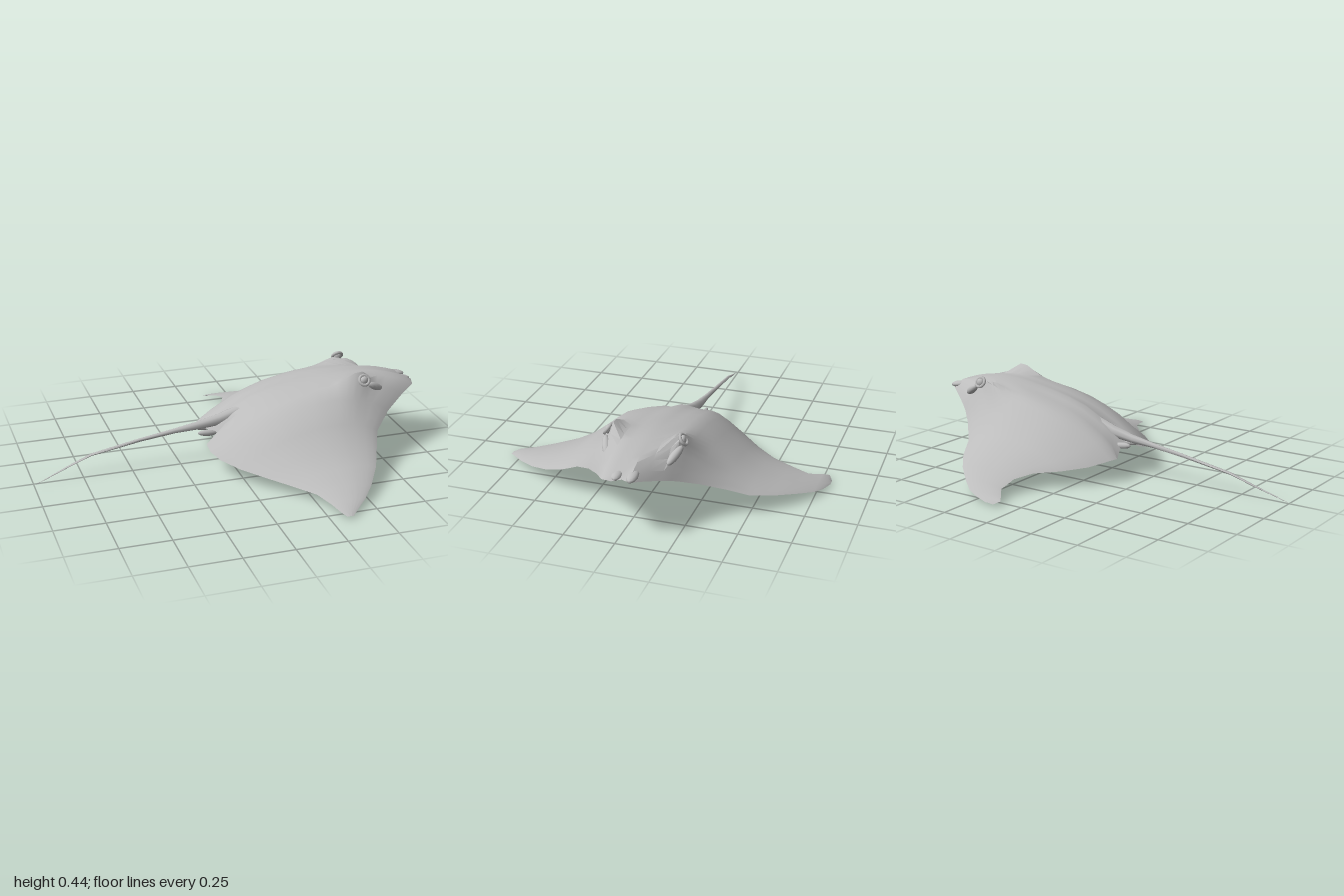
import * as THREE from 'three';
import { toCreasedNormals } from 'three/addons/utils/BufferGeometryUtils.js';

const skin = new THREE.MeshStandardMaterial({ color: 0xbcbcbc });
skin.name = 'grey skin';

const SPINE_Z = -0.035;

// Chord sections across the wingspan: z, trailing x, y, leading x, y, back height
const SECTIONS = [
  [0.80, 0.33, 0.020, 0.36, 0.020, 0.002],
  [0.77, 0.31, 0.030, 0.39, 0.030, 0.005],
  [0.70, 0.29, 0.040, 0.46, 0.045, 0.012],
  [0.61, 0.25, 0.055, 0.53, 0.065, 0.020],
  [0.50, 0.16, 0.062, 0.60, 0.100, 0.035],
  [0.40, 0.06, 0.075, 0.645, 0.140, 0.055],
  [0.30, -0.03, 0.085, 0.69, 0.195, 0.098],
  [0.20, -0.10, 0.100, 0.79, 0.250, 0.148],
  [0.12, -0.13, 0.115, 0.90, 0.295, 0.155],
  [0.06, -0.13, 0.130, 0.985, 0.320, 0.148],
  [0.01, -0.06, 0.165, 1.00, 0.325, 0.140],
  [-0.03, -0.10, 0.170, 0.97, 0.325, 0.138],
  [-0.07, -0.10, 0.160, 0.99, 0.325, 0.140],
  [-0.12, -0.12, 0.135, 0.92, 0.305, 0.152],
  [-0.17, -0.145, 0.125, 0.85, 0.280, 0.156],
  [-0.20, -0.125, 0.120, 0.81, 0.265, 0.156],
  [-0.23, -0.11, 0.115, 0.77, 0.245, 0.150],
  [-0.30, -0.06, 0.100, 0.695, 0.205, 0.125],
  [-0.40, 0.03, 0.090, 0.61, 0.150, 0.075],
  [-0.50, 0.12, 0.090, 0.56, 0.110, 0.040],
  [-0.60, 0.16, 0.080, 0.48, 0.085, 0.020],
  [-0.69, 0.165, 0.055, 0.385, 0.060, 0.012],
  [-0.75, 0.12, 0.040, 0.31, 0.040, 0.006],
  [-0.78, 0.10, 0.030, 0.25, 0.030, 0.004],
  [-0.80, 0.13, 0.015, 0.17, 0.018, 0.002],
];
// Back profile along one chord: fraction from tail to nose, share of height
const PROFILE = [[0, 0], [0.04, 0.25], [0.1, 0.5], [0.22, 0.83], [0.32, 0.95], [0.42, 1],
  [0.54, 1.02], [0.6, 1.01], [0.65, 0.98], [0.7, 0.93], [0.74, 0.87], [0.78, 0.79],
  [0.82, 0.7], [0.86, 0.59], [0.9, 0.46], [0.96, 0.24], [1, 0]];

// Height of the back over the chord line, with a spine ridge and two eye mounds
function backHeight(x, z, t, s, h) {
  const off = Math.abs(z - SPINE_Z);
  const rear = Math.max(0, 1 - t / 0.45) * THREE.MathUtils.smoothstep(off, 0.03, 0.2);
  const reach = x < 0.67 ? 0.1 : 0.055;
  const mound = Math.exp(-(((x - 0.67) / reach) ** 2) - ((off - 0.16) / 0.04) ** 2);
  return h * s * (1 - 0.3 * rear) + 0.07 * mound * Math.min(1, s * 2);
}

// Joins a grid of points, rows[j][i], into a surface
function surface(rows, flip = false) {
  const cols = rows[0].length, index = [];
  for (let j = 0; j < rows.length - 1; j++) {
    for (let i = 0; i < cols - 1; i++) {
      const a = j * cols + i, b = a + 1, c = a + cols, d = c + 1;
      if (flip) index.push(a, c, b, b, c, d);
      else index.push(a, b, c, b, d, c);
    }
  }
  const g = new THREE.BufferGeometry();
  g.setAttribute('position', new THREE.Float32BufferAttribute(rows.flat(2), 3));
  g.setIndex(index);
  return g;
}

function addMesh(parent, name, geometry) {
  const m = new THREE.Mesh(geometry, skin);
  m.name = name;
  parent.add(m);
  return m;
}

function ellipsoid(parent, name, pos, radii, rot = [0, 0, 0]) {
  const m = addMesh(parent, name, new THREE.SphereGeometry(1, 12, 8));
  m.position.set(...pos);
  m.scale.set(...radii);
  m.rotation.set(...rot);
}

export function createModel() {
  const ray = new THREE.Group();
  ray.name = 'ray';

  // Domed back and flat, fanned belly share the same outline
  const sheet = (profile) => SECTIONS.map(([z, x0, y0, x1, y1, h]) => profile.map(([t, s]) => {
    const x = x0 + (x1 - x0) * t;
    return [x, y0 + (y1 - y0) * t + (s ? backHeight(x, z, t, s, h) : 0), z];
  }));
  addMesh(ray, 'back', toCreasedNormals(surface(sheet(PROFILE)), 0.7));
  addMesh(ray, 'belly', toCreasedNormals(surface(sheet([[0, 0], [1, 0]]), true), 0.2));

  // Whip tail: x, y, z, half height, half width
  const tailPath = [
    [0.12, 0.27, -0.03, 0.03, 0.03],
    [-0.04, 0.215, -0.032, 0.031, 0.028],
    [-0.15, 0.196, -0.034, 0.022, 0.02],
    [-0.27, 0.182, -0.035, 0.013, 0.013],
    [-0.45, 0.157, -0.035, 0.009, 0.010],
    [-0.70, 0.114, -0.03, 0.006, 0.009],
    [-0.82, 0.072, -0.018, 0.004, 0.007],
    [-0.99, 0.012, 0.01, 0.001, 0.001],
  ];
  const rings = tailPath.map(([x, y, z, h, w]) => Array.from({ length: 9 }, (_, i) => {
    const a = i / 8 * Math.PI * 2;
    return [x, y + Math.cos(a) * h, z + Math.sin(a) * w];
  }));
  addMesh(ray, 'tail', toCreasedNormals(surface(rings, true), 0.9));

  // Paired details either side of the spine
  for (const side of [1, -1]) {
    const at = (x, y, off) => [x, y, SPINE_Z + side * off];
    ellipsoid(ray, 'cheekFold', at(0.745, 0.36, 0.165), [0.06, 0.02, 0.02], [0, side * 0.4, -0.5]);
    ellipsoid(ray, 'eye', at(0.675, 0.408, 0.18), [0.022, 0.022, 0.016]);
    const lid = addMesh(ray, 'eyelid', new THREE.TorusGeometry(0.026, 0.008, 6, 12));
    lid.position.set(...at(0.675, 0.41, 0.182));
    lid.rotation.set(-side * 0.6, 0, 0);
    ellipsoid(ray, 'noseLobe', at(0.945, 0.336, 0.036), [0.05, 0.017, 0.026], [0, 0, -0.15]);
    ellipsoid(ray, 'pelvicFin', at(-0.11, 0.165, 0.038), [0.05, 0.016, 0.014], [0, 0, -0.1]);
  }
  return ray;
}
